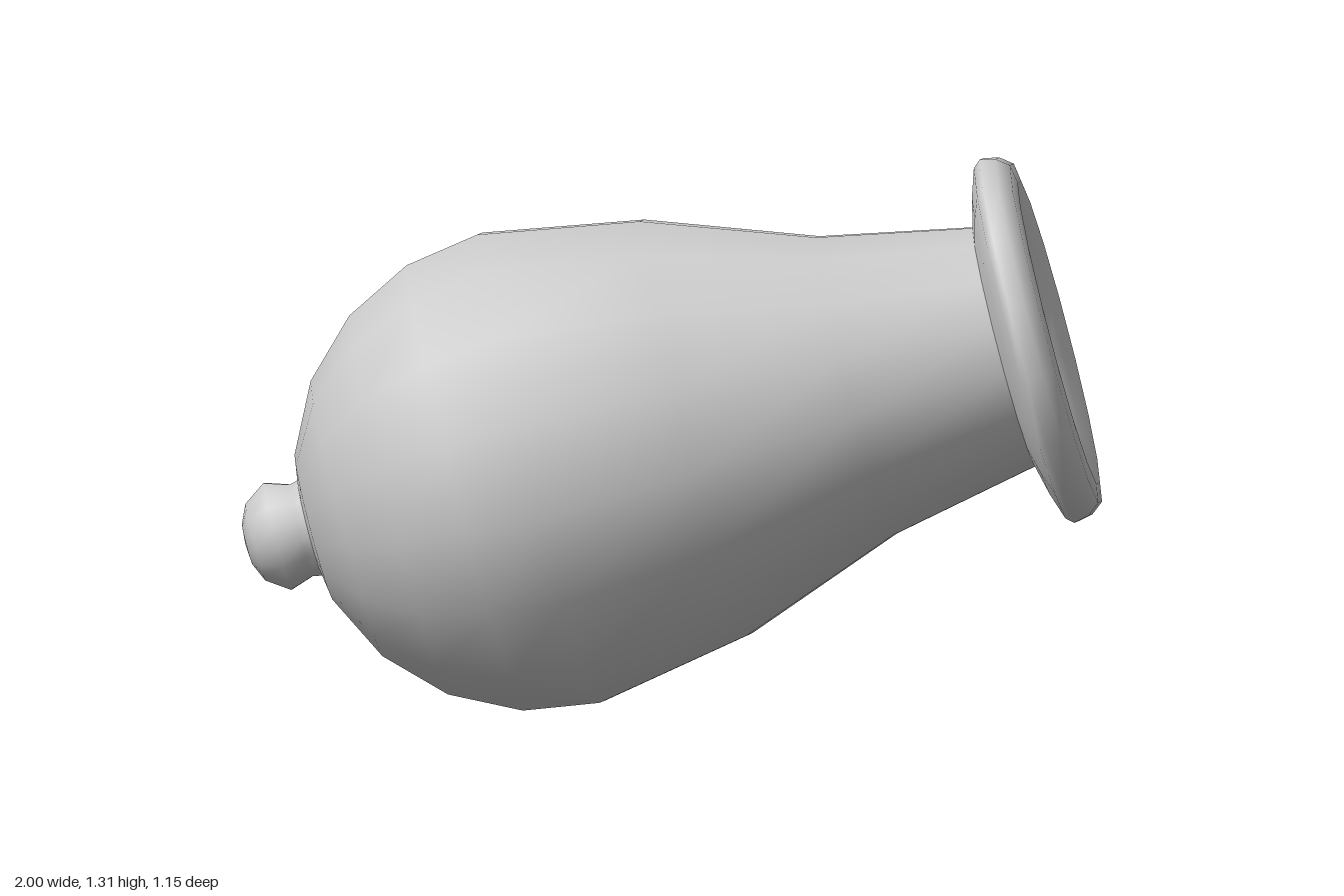
import * as THREE from 'three';

const SIDES = 16;
const TILT = THREE.MathUtils.degToRad(15); // muzzle raised above horizontal

export function createModel() {
  const group = new THREE.Group();
  group.name = 'tiltedMortarBarrel';

  // Everything is turned about one tilted axis; profiles are [radius, distance along axis]
  const barrel = new THREE.Group();
  barrel.name = 'barrel';
  barrel.position.set(0, 0.66, 0);
  barrel.rotation.z = TILT - Math.PI / 2;
  group.add(barrel);

  const material = new THREE.MeshStandardMaterial({ color: 0xcccccc });

  function turned(name, profile) {
    const points = profile.map(([r, s]) => new THREE.Vector2(r, s));
    const mesh = new THREE.Mesh(new THREE.LatheGeometry(points, SIDES), material);
    mesh.name = name;
    barrel.add(mesh);
  }

  // Rounded breech, from the pole to the widest ring
  function breech(radius, centre, steps = 5) {
    const arc = [];
    for (let i = 0; i <= steps; i++) {
      const a = (i / steps) * Math.PI / 2;
      arc.push([i === 0 ? 0 : radius * Math.sin(a), centre - radius * Math.cos(a)]);
    }
    return arc;
  }

  // Outer shell: hemisphere tapering to the neck
  turned('body', [...breech(0.575, -0.322), [0.508, 0.052], [0.365, 0.44], [0.288, 0.82]]);

  // Flared muzzle ring with a dished front and a short throat
  turned('muzzleFlange', [
    [0.28, 0.795], [0.365, 0.816], [0.43, 0.838], [0.446, 0.856], [0.438, 0.892],
    [0.415, 0.921], [0.37, 0.928], [0.30, 0.908], [0.25, 0.888], [0.225, 0.868], [0.222, 0.765],
  ]);

  // Hollow inside, running from the throat back to the rounded end
  turned('cavity', [
    [0.222, 0.765], [0.25, 0.72], [0.30, 0.44], [0.44, 0.052],
    ...breech(0.505, -0.322).reverse(),
  ]);

  // Knob on the breech end
  turned('breechKnob', [
    [0, -1.035], [0.05, -1.03], [0.094, -1.01], [0.131, -0.957], [0.112, -0.9], [0.12, -0.865],
  ]);

  return group;
}
